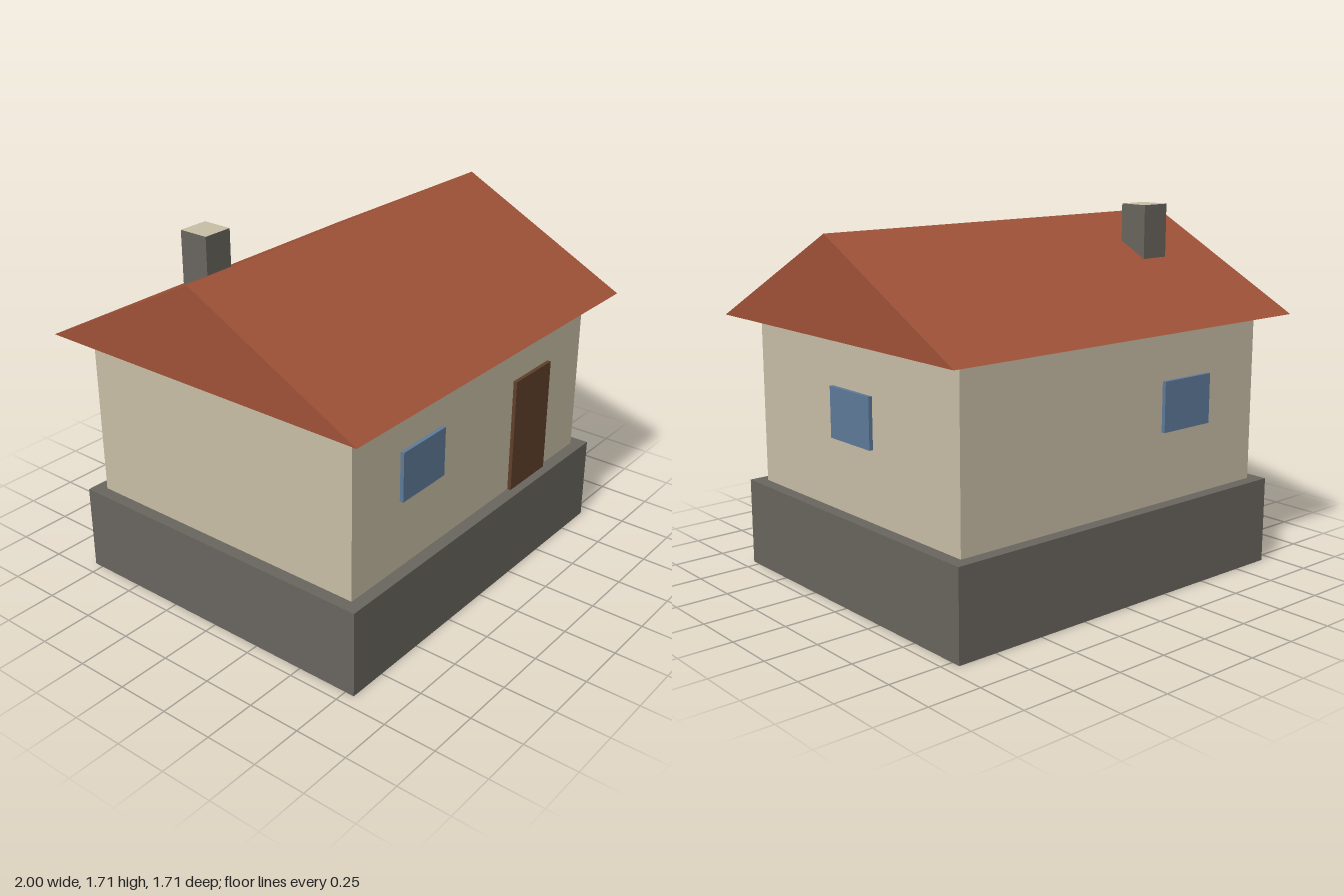
import * as THREE from 'three';

const mat = (name, color) => {
  const m = new THREE.MeshStandardMaterial({ color });
  m.name = name;
  return m;
};

export function createModel() {
  const plaster = mat('plaster', 0xc8bea6);
  const stone = mat('stone', 0x69655e);
  const tile = mat('roofTile', 0xa05238);
  const wood = mat('doorWood', 0x60402b);
  const glass = mat('windowGlass', 0x5f7a9a);

  const house = new THREE.Group();
  house.name = 'house';

  // Box given by its extents along each axis
  const box = (name, material, [x0, x1], [y0, y1], [z0, z1]) => {
    const mesh = new THREE.Mesh(new THREE.BoxGeometry(x1 - x0, y1 - y0, z1 - z0), material);
    mesh.position.set((x0 + x1) / 2, (y0 + y1) / 2, (z0 + z1) / 2);
    mesh.name = name;
    house.add(mesh);
    return mesh;
  };

  // Plinth and walls
  box('foundation', stone, [-0.94, 0.94], [0, 0.413], [-0.795, 0.795]);
  box('walls', plaster, [-0.88, 0.88], [0.413, 1.21], [-0.735, 0.735]);

  // Solid gable roof, ridge along x
  const gable = new THREE.Shape([
    new THREE.Vector2(-0.853, 1.21),
    new THREE.Vector2(0.853, 1.21),
    new THREE.Vector2(0, 1.65),
  ]);
  const roofGeo = new THREE.ExtrudeGeometry(gable, { depth: 2, bevelEnabled: false });
  roofGeo.translate(0, 0, -1).rotateY(Math.PI / 2);
  const roof = new THREE.Mesh(roofGeo, tile);
  roof.name = 'roof';
  house.add(roof);

  // Chimney with a pale top face
  box('chimney', [stone, stone, plaster, stone, stone, stone],
    [-0.663, -0.517], [1.3, 1.71], [-0.367, -0.221]);

  // Door and windows stand slightly proud of the walls
  const sill = [0.74, 0.973];
  box('door', wood, [0.293, 0.586], [0.413, 0.973], [0.725, 0.753]);
  box('frontWindow', glass, [-0.562, -0.267], sill, [0.725, 0.753]);
  box('backWindow', glass, [-0.562, -0.267], sill, [-0.753, -0.725]);
  box('sideWindow', glass, [0.87, 0.898], sill, [-0.146, 0.146]);

  return house;
}
